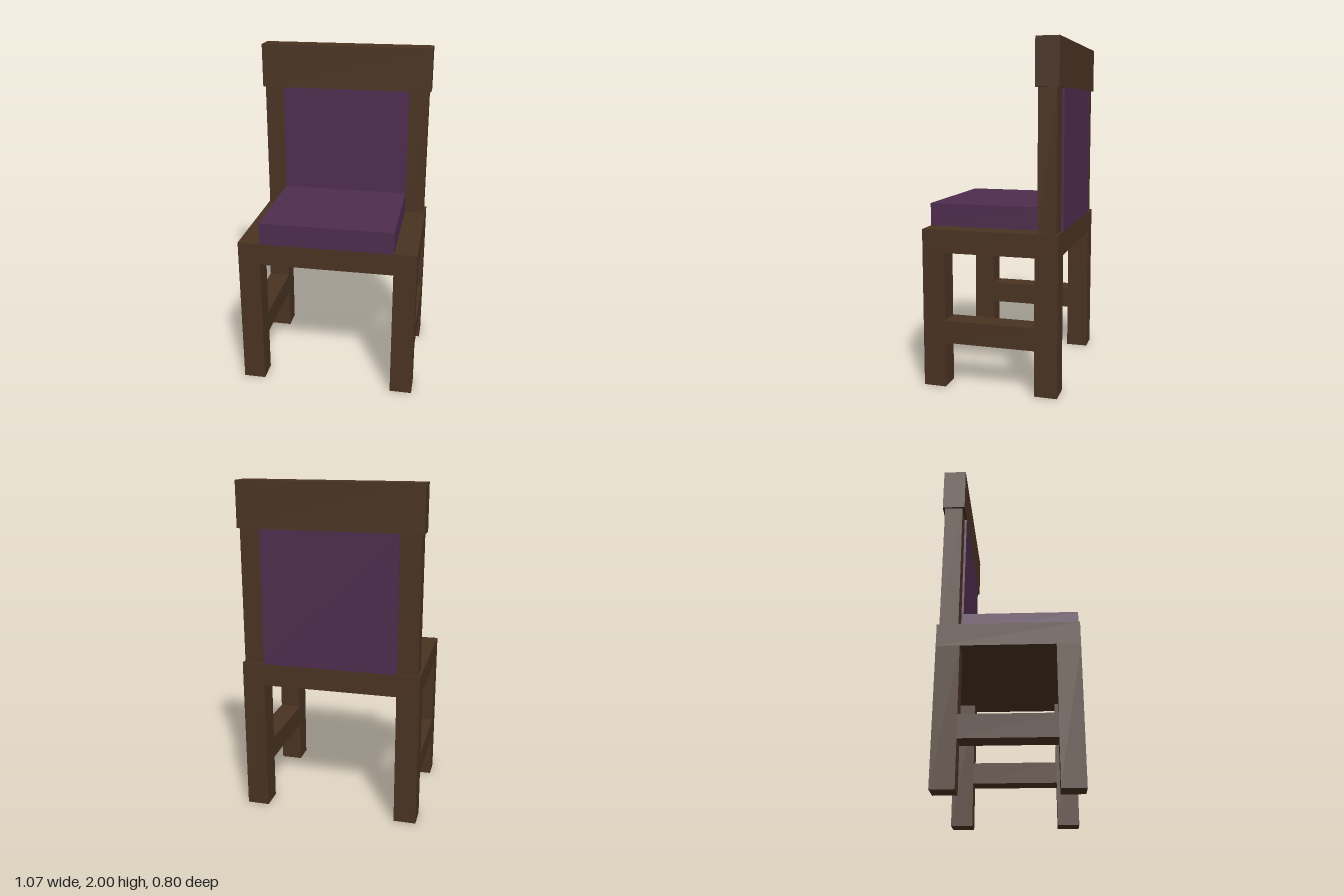
import * as THREE from 'three';

export function createModel() {
  const chair = new THREE.Group();
  chair.name = 'chair';

  const wood = new THREE.MeshStandardMaterial({ color: 0x4a3322 });
  wood.name = 'dark wood';
  const fabric = new THREE.MeshStandardMaterial({ color: 0x4f2d4e });
  fabric.name = 'purple fabric';

  // Adds a box spanning two opposite corners
  function box(name, material, [x0, y0, z0], [x1, y1, z1]) {
    const mesh = new THREE.Mesh(new THREE.BoxGeometry(x1 - x0, y1 - y0, z1 - z0), material);
    mesh.position.set((x0 + x1) / 2, (y0 + y1) / 2, (z0 + z1) / 2);
    mesh.name = name;
    chair.add(mesh);
  }

  const u = 2 / 15; // timber thickness
  const inner = 3 * u; // inside face of the legs
  const outer = 4 * u; // outside face of the legs
  const gap = 0.013; // inset of the back posts

  // Seat frame, with the cushion on top between the side rails
  box('seat', wood, [-outer, 6 * u, -inner], [outer, 7 * u, inner]);
  box('cushion', fabric, [-inner, 7 * u, -2 * u], [inner, 8 * u, inner]);

  // Backrest panel and top rail
  box('backPanel', fabric, [-inner, 7 * u, -inner], [inner, 13 * u, -2 * u]);
  box('topRail', wood, [-outer, 13 * u, -inner], [outer, 15 * u, -2 * u]);

  // Legs, stretchers and slightly inset back posts, mirrored left and right
  for (const [side, s] of [['left', 1], ['right', -1]]) {
    const a = s > 0 ? inner : -outer;
    const b = a + u;
    box(side + 'FrontLeg', wood, [a, 0, 2 * u], [b, 6 * u, inner]);
    box(side + 'BackLeg', wood, [a, 0, -inner], [b, 6 * u, -2 * u]);
    box(side + 'Stretcher', wood, [a, 2 * u, -2 * u], [b, 3 * u, 2 * u]);
    box(side + 'BackPost', wood,
      [s > 0 ? a : a + gap, 7 * u, -inner + gap],
      [s > 0 ? b - gap : b, 13 * u, -2 * u - gap]);
  }

  return chair;
}
